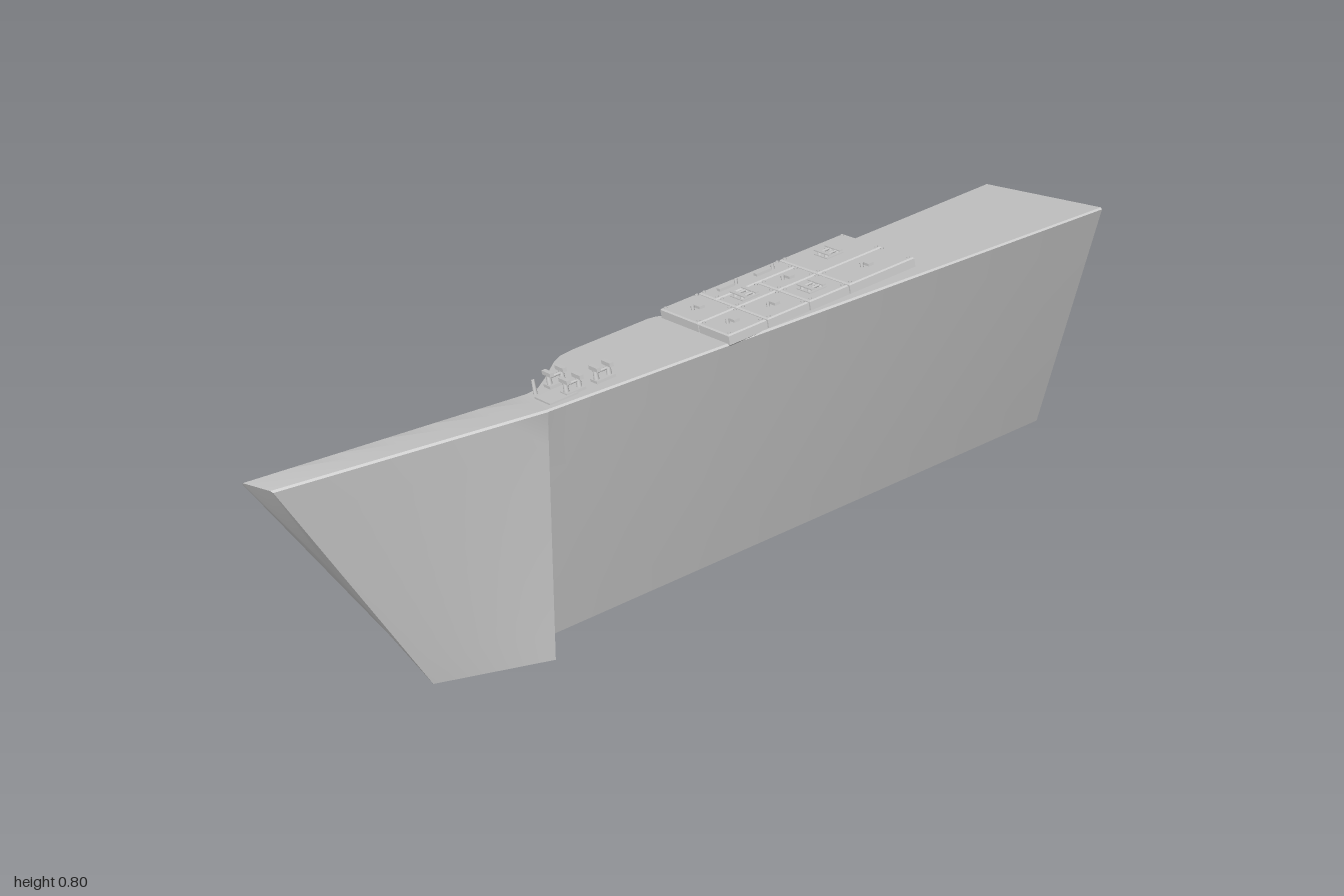
import * as THREE from 'three';
import { toCreasedNormals } from 'three/addons/utils/BufferGeometryUtils.js';

const mat = new THREE.MeshStandardMaterial({ color: 0xcccccc, side: THREE.DoubleSide });
const V = (x, y, z) => new THREE.Vector3(x, y, z);
const TILT = 0.264;                       // slope of the top deck
const deckY = (z) => 0.7515 + 0.27 * z;

function add(parent, name, geo, x = 0, y = 0, z = 0) {
  const m = new THREE.Mesh(geo, mat);
  m.name = name;
  m.position.set(x, y, z);
  parent.add(m);
  return m;
}

// Corners of a body section: back bottom, back top, front top, front bottom
function station(x, backZ, backY) {
  const t = (x + 0.39) / 1.39;
  const topZ = backZ * 0.97;
  return [
    V(x, backY, backZ),
    V(x, deckY(topZ), topZ),
    V(x, 0.767 + 0.033 * t, 0.05 + 0.135 * t),
    V(x, 0.095 + 0.033 * t, -0.03 + 0.066 * t),
  ];
}

// Section line, open at the bottom, with chamfered top corners
function section(c) {
  const pts = [], bevel = 0.005;
  for (let k = 0; k < 3; k++) {
    const a = c[k], b = c[k + 1], e = bevel / a.distanceTo(b);
    const n = k === 1 ? 2 : 8;
    const t0 = k === 0 ? 0 : e, t1 = k === 2 ? 1 : 1 - e;
    for (let i = 0; i <= n; i++) pts.push(a.clone().lerp(b, t0 + (t1 - t0) * (i / n)));
  }
  return pts;
}

function loft(stations) {
  const lines = stations.map(section), n = lines[0].length, pos = [], idx = [];
  lines.forEach((r) => r.forEach((p) => pos.push(p.x, p.y, p.z)));
  for (let i = 0; i < lines.length - 1; i++) {
    for (let j = 0; j < n - 1; j++) {
      const a = i * n + j, b = a + 1;
      idx.push(a, b, b + n, a, b + n, a + n);
    }
  }
  // end caps
  [0, lines.length - 1].forEach((i) => {
    const c = lines[i].reduce((s, p) => s.add(p), V(0, 0, 0)).divideScalar(n);
    const ci = pos.length / 3;
    pos.push(c.x, c.y, c.z);
    for (let j = 0; j < n; j++) {
      const a = i * n + j, b = i * n + (j + 1) % n;
      if (i === 0) idx.push(ci, b, a); else idx.push(ci, a, b);
    }
  });
  const g = new THREE.BufferGeometry();
  g.setAttribute('position', new THREE.Float32BufferAttribute(pos, 3));
  g.setIndex(idx);
  return toCreasedNormals(g, 0.62);
}

function buildHull() {
  const tip = [V(-0.64, 0.097, -0.138), V(-1, 0.742, -0.138), V(-0.97, 0.751, -0.065), V(-0.65, 0.1, -0.04)];
  // wing root stands proud of the body's lower front
  const root = station(-0.392, -0.067, 0.062);
  root[0].x = root[1].x = -0.375;
  root[3].set(-0.392, 0.097, 0.047);
  const start = station(-0.388, -0.067, 0.06);
  start[0].x = start[1].x = -0.365;
  const end = station(1, -0.156, 0.015);
  end[0].x = end[1].x = 0.955;
  const keys = [
    tip, root, start,
    station(-0.34, -0.072, 0.053), station(-0.3, -0.105, 0.04), station(-0.24, -0.162, 0.014),
    station(-0.215, -0.177, 0.005), station(-0.18, -0.182, 0.001), station(0.015, -0.181, 0.001),
    station(0.035, -0.175, 0.004), station(0.05, -0.158, 0.012), station(0.08, -0.156, 0.013), end,
  ];
  // fill the long spans with intermediate sections
  const all = [];
  keys.forEach((k, i) => {
    all.push(k);
    const next = keys[i + 1];
    if (!next) return;
    const steps = Math.ceil((next[2].x - k[2].x) / 0.1);
    for (let s = 1; s < steps; s++) all.push(k.map((p, j) => p.clone().lerp(next[j], s / steps)));
  });
  return loft(all);
}

// Chamfered cover plate
function plate(w, h, d) {
  const b = 0.003, s = new THREE.Shape();
  s.moveTo(-w / 2 + b, -d / 2 + b).lineTo(w / 2 - b, -d / 2 + b);
  s.lineTo(w / 2 - b, d / 2 - b).lineTo(-w / 2 + b, d / 2 - b).closePath();
  return new THREE.ExtrudeGeometry(s, { depth: h - 2 * b, bevelSize: b, bevelThickness: b, bevelSegments: 1 })
    .rotateX(-Math.PI / 2).translate(0, b, 0);
}

// H-shaped cleat: two capped posts joined by a crossbar
function cleat(parent, name, x, y, z, size, height) {
  const g = new THREE.Group();
  g.name = name;
  g.position.set(x, y, z);
  add(g, 'cleatBase', new THREE.BoxGeometry(size * 1.5, height * 0.2, size * 0.8), 0, height * 0.1, 0);
  for (const s of [-1, 1]) {
    add(g, 'cleatPost', new THREE.CylinderGeometry(size * 0.16, size * 0.2, height * 0.8, 10), s * size * 0.5, height * 0.4, 0);
    add(g, 'cleatCap', new THREE.BoxGeometry(size * 0.3, height * 0.25, size), s * size * 0.5, height * 0.87, 0);
  }
  add(g, 'cleatBar', new THREE.CylinderGeometry(size * 0.1, size * 0.1, size, 8).rotateZ(Math.PI / 2), 0, height * 0.6, 0);
  parent.add(g);
}

export function createModel() {
  const model = new THREE.Group();
  model.name = 'angledSlab';
  add(model, 'hull', buildHull());

  const deck = new THREE.Group();
  deck.name = 'deckFittings';
  deck.position.y = 0.7515;
  deck.rotation.x = -TILT;
  model.add(deck);

  // Cover plates: x0, x1, z0, z1
  const tiles = [
    [0.035, 0.138, -0.155, -0.012], [0.138, 0.358, -0.155, -0.088], [0.358, 0.54, -0.155, -0.012],
    [0.138, 0.25, -0.088, -0.012], [0.25, 0.358, -0.088, -0.012],
    [0.035, 0.138, -0.012, 0.1], [0.138, 0.25, -0.012, 0.1],
    [0.25, 0.358, -0.012, 0.1], [0.358, 0.54, -0.012, 0.1],
  ];
  const top = 0.022;
  tiles.forEach(([x0, x1, z0, z1], i) => {
    const w = x1 - x0 - 0.003, d = z1 - z0 - 0.003, cx = (x0 + x1) / 2, cz = (z0 + z1) / 2;
    add(deck, 'coverPlate', plate(w, top + 0.004, d), cx, -0.004, cz);
    for (const sx of [-1, 1]) for (const sz of [-1, 1]) {
      add(deck, 'screw', new THREE.CylinderGeometry(0.004, 0.004, 0.003, 8),
        cx + sx * (w / 2 - 0.009), top + 0.001, cz + sz * (d / 2 - 0.009));
    }
    // small fittings in the middle of the plates
    if (i === 1) {
      for (const x of [0.19, 0.29]) {
        add(deck, 'latch', new THREE.BoxGeometry(0.04, 0.006, 0.012), x, top + 0.003, cz);
        add(deck, 'stud', new THREE.CylinderGeometry(0.004, 0.004, 0.012, 8), x + 0.028, top + 0.006, cz);
      }
    } else if ([2, 3, 7].includes(i)) {
      for (const s of [-1, 1]) cleat(deck, 'cleat', cx - 0.005, top, cz + s * 0.012, 0.03, 0.01);
    } else {
      add(deck, 'latch', new THREE.BoxGeometry(0.014, 0.006, 0.022), cx + 0.005, top + 0.003, cz);
      add(deck, 'stud', new THREE.CylinderGeometry(0.004, 0.004, 0.01, 8), cx - 0.012, top + 0.005, cz);
    }
  });

  // Cleats near the bend
  for (const [x, z] of [[-0.305, 0.016], [-0.23, 0.016], [-0.305, -0.048]]) cleat(deck, 'deckCleat', x, 0, z, 0.032, 0.036);
  add(deck, 'deckStud', new THREE.CylinderGeometry(0.004, 0.005, 0.034, 8), -0.36, 0.015, -0.045);
  add(deck, 'deckPad', new THREE.BoxGeometry(0.07, 0.006, 0.06), -0.34, 0.002, 0.005);

  return model;
}
